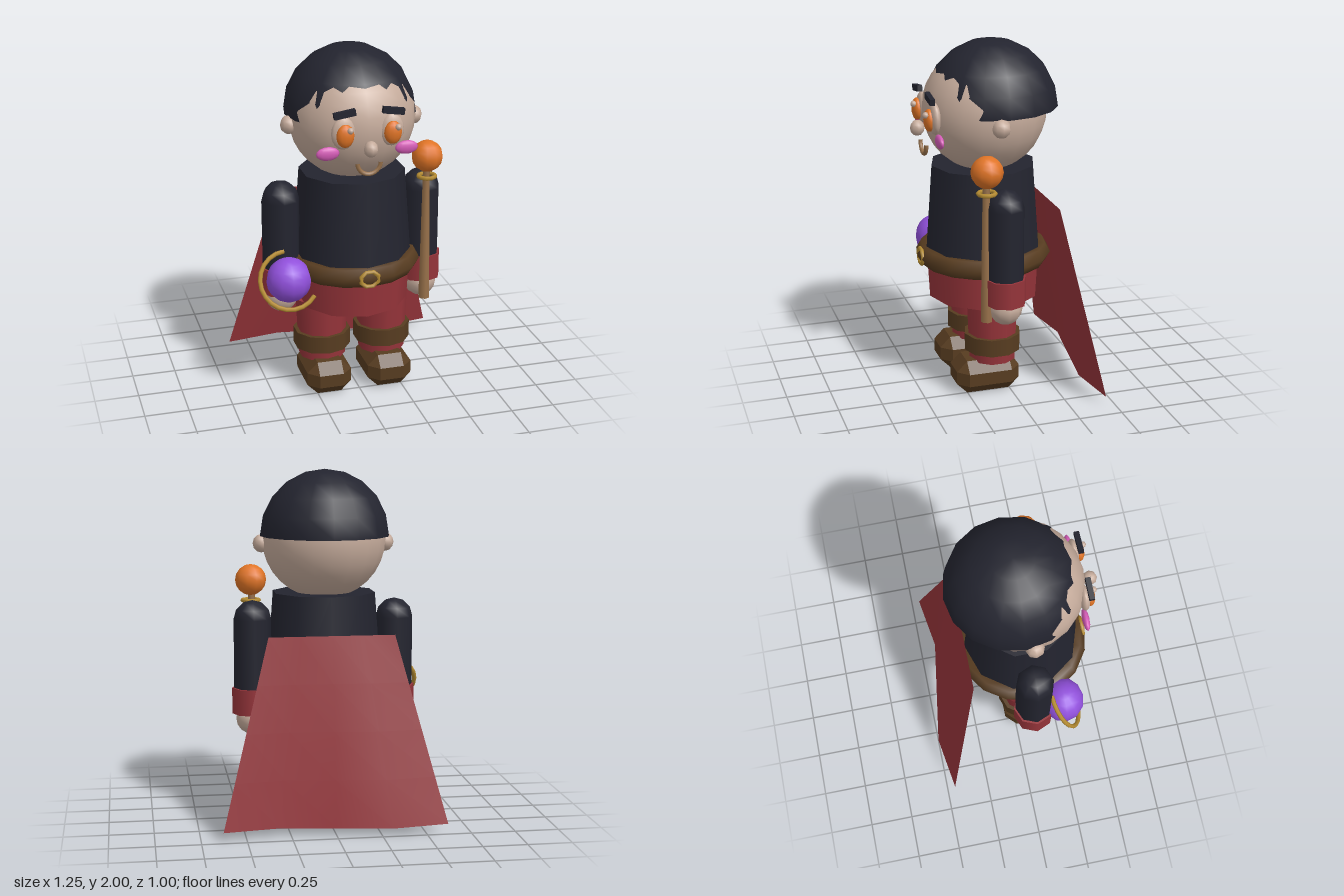
import * as THREE from 'three';
import { ConvexGeometry } from 'three/addons/geometries/ConvexGeometry.js';

const CZ = 0.08; // depth of the body axis

function mat(name, color, side = THREE.FrontSide) {
  const m = new THREE.MeshStandardMaterial({ color, side });
  m.name = name;
  return m;
}

// Box with every edge cut off, flat faced
function chamferedBox(w, h, d, c) {
  const points = [];
  for (const sx of [-1, 1]) for (const sy of [-1, 1]) for (const sz of [-1, 1]) {
    const x = w / 2, y = h / 2, z = d / 2;
    for (const [px, py, pz] of [[x, y - c, z - c], [x - c, y, z - c], [x - c, y - c, z]]) {
      points.push(new THREE.Vector3(sx * px, sy * py, sz * pz));
    }
  }
  return new ConvexGeometry(points);
}

export function createModel() {
  const model = new THREE.Group();
  model.name = 'capedFigure';

  const navy = mat('darkNavy', 0x23242f, THREE.DoubleSide);
  const skin = mat('skin', 0xc6ac9c);
  const red = mat('red', 0x96343a, THREE.DoubleSide);
  const brown = mat('leatherBrown', 0x573c20);
  const gold = mat('gold', 0xb58c32);
  const orange = mat('orange', 0xe07426);
  const purple = mat('purple', 0x9150dc);
  const pink = mat('pink', 0xd65cb8);
  const wood = mat('wood', 0x98714a);

  const add = (name, geometry, material, x, y, z, parent = model) => {
    const mesh = new THREE.Mesh(geometry, material);
    mesh.name = name;
    mesh.position.set(x, y, z);
    parent.add(mesh);
    return mesh;
  };
  // Tapered cylinder between two heights
  const column = (name, rTop, rBottom, y0, y1, sides, material, x, z = CZ) =>
    add(name, new THREE.CylinderGeometry(rTop, rBottom, y1 - y0, sides), material, x, (y0 + y1) / 2, z);
  // Ellipsoid
  const ball = (name, rx, ry, rz, material, x, y, z, w = 12, h = 8) => {
    const mesh = add(name, new THREE.SphereGeometry(1, w, h), material, x, y, z);
    mesh.scale.set(rx, ry, rz);
    return mesh;
  };

  // Torso, hips and belt
  column('torso', 0.298, 0.338, 0.76, 1.3, 10, navy, 0);
  column('hips', 0.331, 0.317, 0.52, 0.78, 10, red, 0);
  const belt = add('belt', new THREE.TorusGeometry(0.327, 0.06, 6, 16), brown, 0, 0.77, CZ);
  belt.rotation.x = Math.PI / 2;
  const buckle = add('buckle', new THREE.TorusGeometry(0.045, 0.012, 6, 8), gold, 0, 0.77, 0.448);
  buckle.geometry.rotateZ(Math.PI / 8);
  buckle.scale.x = 1.15;

  // Head and hair cap, set slightly back so the face shows
  ball('head', 0.355, 0.35, 0.35, skin, 0, 1.61, 0.07, 20, 16);
  const hair = add('hair', new THREE.SphereGeometry(1, 16, 5, 0, Math.PI * 2, 0, Math.PI / 2), navy, 0, 1.625, 0.03);
  hair.scale.set(0.37, 0.375, 0.375);

  // Nose and mouth
  ball('nose', 0.04, 0.045, 0.042, skin, 0, 1.525, 0.455, 8, 6);
  const mouth = add('mouth', new THREE.TorusGeometry(0.065, 0.012, 6, 12, Math.PI), wood, 0, 1.44, 0.422);
  mouth.rotation.z = Math.PI;

  const shoeGeometry = chamferedBox(0.26, 0.195, 0.37, 0.06);

  for (const s of [-1, 1]) {
    const side = s > 0 ? 'left' : 'right';

    // Face
    ball(side + 'Eye', 0.069, 0.09, 0.032, skin, s * 0.134, 1.605, 0.392);
    ball(side + 'Iris', 0.05, 0.064, 0.03, orange, s * 0.132, 1.598, 0.422);
    ball(side + 'EyeGlint', 0.018, 0.018, 0.018, skin, s * 0.132 + 0.022, 1.633, 0.447, 8, 6);
    const brow = add(side + 'Brow', new THREE.BoxGeometry(0.12, 0.035, 0.028), navy, s * 0.135, 1.718, 0.417);
    brow.rotation.z = -s * 0.15;
    ball(side + 'Cheek', 0.065, 0.038, 0.02, pink, s * 0.22, 1.497, 0.388);
    ball(side + 'Ear', 0.05, 0.053, 0.053, skin, s * 0.357, 1.58, CZ, 8, 6);

    // Arm, cuff and hand
    ball(side + 'Shoulder', 0.108, 0.108, 0.108, navy, s * 0.412, 1.148, 0.076, 8, 6);
    column(side + 'Sleeve', 0.108, 0.108, 0.62, 1.148, 8, navy, s * 0.412, 0.076);
    column(side + 'Cuff', 0.117, 0.117, 0.6, 0.75, 8, red, s * 0.415, 0.076);
    ball(side + 'Hand', 0.095, 0.095, 0.095, skin, s * 0.415, 0.57, 0.076, 10, 8);

    // Leg and boot
    column(side + 'Leg', 0.15, 0.135, 0.18, 0.54, 10, red, s * 0.18);
    column(side + 'BootCuff', 0.164, 0.164, 0.24, 0.34, 10, brown, s * 0.18);
    add(side + 'Shoe', shoeGeometry, brown, s * 0.18, 0.0975, 0.126);
  }

  // Staff with gold collar and orange head
  column('staff', 0.02, 0.033, 0.5, 1.29, 8, wood, 0.407, 0.183);
  const collar = add('staffCollar', new THREE.TorusGeometry(0.048, 0.012, 6, 10), gold, 0.411, 1.243, 0.181);
  collar.rotation.x = Math.PI / 2;
  ball('staffHead', 0.09, 0.09, 0.09, orange, 0.411, 1.362, 0.179, 10, 8);

  // Orb with an open tilted ring
  ball('orb', 0.128, 0.128, 0.122, purple, -0.41, 0.733, 0.25, 12, 10);
  const ringGeometry = new THREE.TorusGeometry(0.165, 0.013, 6, 14, 4);
  ringGeometry.rotateZ(1.63);
  const ring = add('orbRing', ringGeometry, gold, -0.41, 0.733, 0.26);
  ring.rotation.x = -0.52;

  // Cape: flares and ripples towards the hem
  const capeGeometry = new THREE.PlaneGeometry(1, 1, 4, 4);
  const p = capeGeometry.attributes.position;
  for (let i = 0; i < p.count; i++) {
    const u = p.getX(i) + 0.5, t = 0.5 - p.getY(i);
    p.setXYZ(i,
      (u - 0.5) * (0.71 + 0.545 * t),
      1.09 - 1.045 * t,
      -0.26 - 0.193 * t - 0.047 * t * Math.sin(u * Math.PI * 2));
  }
  capeGeometry.computeVertexNormals();
  add('cape', capeGeometry, red, 0, 0, 0);

  return model;
}
